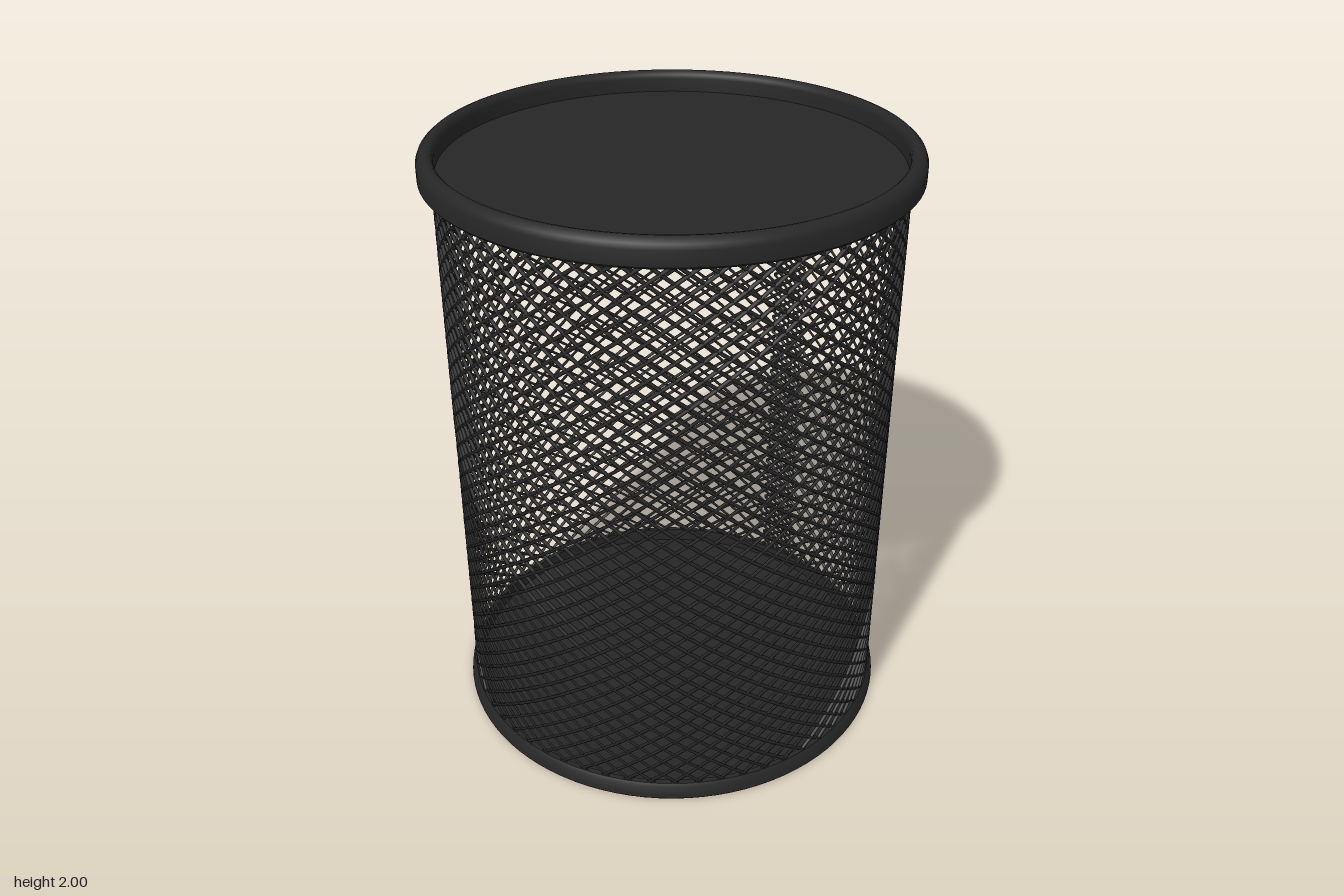
import * as THREE from 'three';
import { mergeGeometries, toCreasedNormals } from 'three/addons/utils/BufferGeometryUtils.js';

const RADIUS = 0.722;            // wire sheet radius
const Y0 = 0.03, Y1 = 1.94;      // wire sheet bottom and top
const CELLS_AROUND = 58.5;       // diamonds per full turn
const ROWS = 33;                 // diamonds from bottom to top
const deg = THREE.MathUtils.degToRad;

const dark = new THREE.MeshStandardMaterial({ color: 0x262626 });
const darkSheet = new THREE.MeshStandardMaterial({ color: 0x262626, side: THREE.DoubleSide });

// One diagonal wire, following a helix on the cup wall.
// u counts diamonds around the wall, v counts diamonds upward.
class WireCurve extends THREE.Curve {
  constructor(k, slope, v0, v1) {
    super();
    Object.assign(this, { k, slope, v0, v1 });
  }
  getPoint(t, target = new THREE.Vector3()) {
    const v = THREE.MathUtils.lerp(this.v0, this.v1, t);
    const a = Math.PI + (this.k + this.slope * v) * 2 * Math.PI / CELLS_AROUND;
    // angle runs from the back towards +x
    return target.set(
      RADIUS * Math.sin(a),
      Y0 + (Y1 - Y0) * v / ROWS,
      -RADIUS * Math.cos(a));
  }
}

// Wire sheet rolled a little over one turn, so that its ends overlap as a seam
function wireMesh() {
  const uStart = (17 - 180) / 360 * CELLS_AROUND;
  const uEnd = (387.3 - 180) / 360 * CELLS_AROUND;
  const wires = [];
  for (const slope of [1, -1]) {
    for (let k = Math.floor(uStart) - ROWS; k <= uEnd + ROWS; k++) {
      const limits = [(uStart - k) * slope, (uEnd - k) * slope].sort((a, b) => a - b);
      const v0 = Math.max(0, limits[0]);
      const v1 = Math.min(ROWS, limits[1]);
      if (v1 - v0 < 0.05) continue;
      const steps = Math.max(1, Math.ceil((v1 - v0) * 2));
      wires.push(new THREE.TubeGeometry(new WireCurve(k, slope, v0, v1), steps, 0.006, 4));
    }
  }
  return mergeGeometries(wires);
}

// Closed ring turned from a list of [radius, height] points, given upward on the outside
function ring(points) {
  const profile = [...points, points[0]].map(([r, y]) => new THREE.Vector2(r, y));
  return toCreasedNormals(new THREE.LatheGeometry(profile, 96), deg(40));
}

// Flat disc in the ground plane; gap is the half angle of a slice cut off at front right
function disc(radius, gap = 0) {
  const shape = new THREE.Shape();
  const middle = deg(135);
  shape.absarc(0, 0, radius, middle + gap, middle + 2 * Math.PI - gap, false);
  return new THREE.ShapeGeometry(shape, 96).rotateX(Math.PI / 2);
}

export function createModel() {
  const group = new THREE.Group();
  const add = (name, geometry, material, y = 0) => {
    const mesh = new THREE.Mesh(geometry, material);
    mesh.name = name;
    mesh.position.y = y;
    group.add(mesh);
  };

  add('wireMeshWall', wireMesh(), dark);

  // Rounded rim band
  add('topRim', ring([
    [0.715, 1.915], [0.762, 1.915], [0.768, 1.922], [0.768, 1.97], [0.762, 1.985],
    [0.75, 1.996], [0.738, 2], [0.727, 1.997], [0.718, 1.988], [0.715, 1.975],
  ]), dark);

  // Flared foot band
  add('baseRing', ring([
    [0.712, 0], [0.742, 0], [0.746, 0.005], [0.744, 0.018],
    [0.736, 0.045], [0.729, 0.055], [0.712, 0.055],
  ]), dark);

  // Thin sheets closing the bottom and the top
  add('bottomPlate', disc(0.735), darkSheet, 0.004);
  add('topPlate', disc(0.716, deg(22)), darkSheet, 1.93);

  return group;
}
